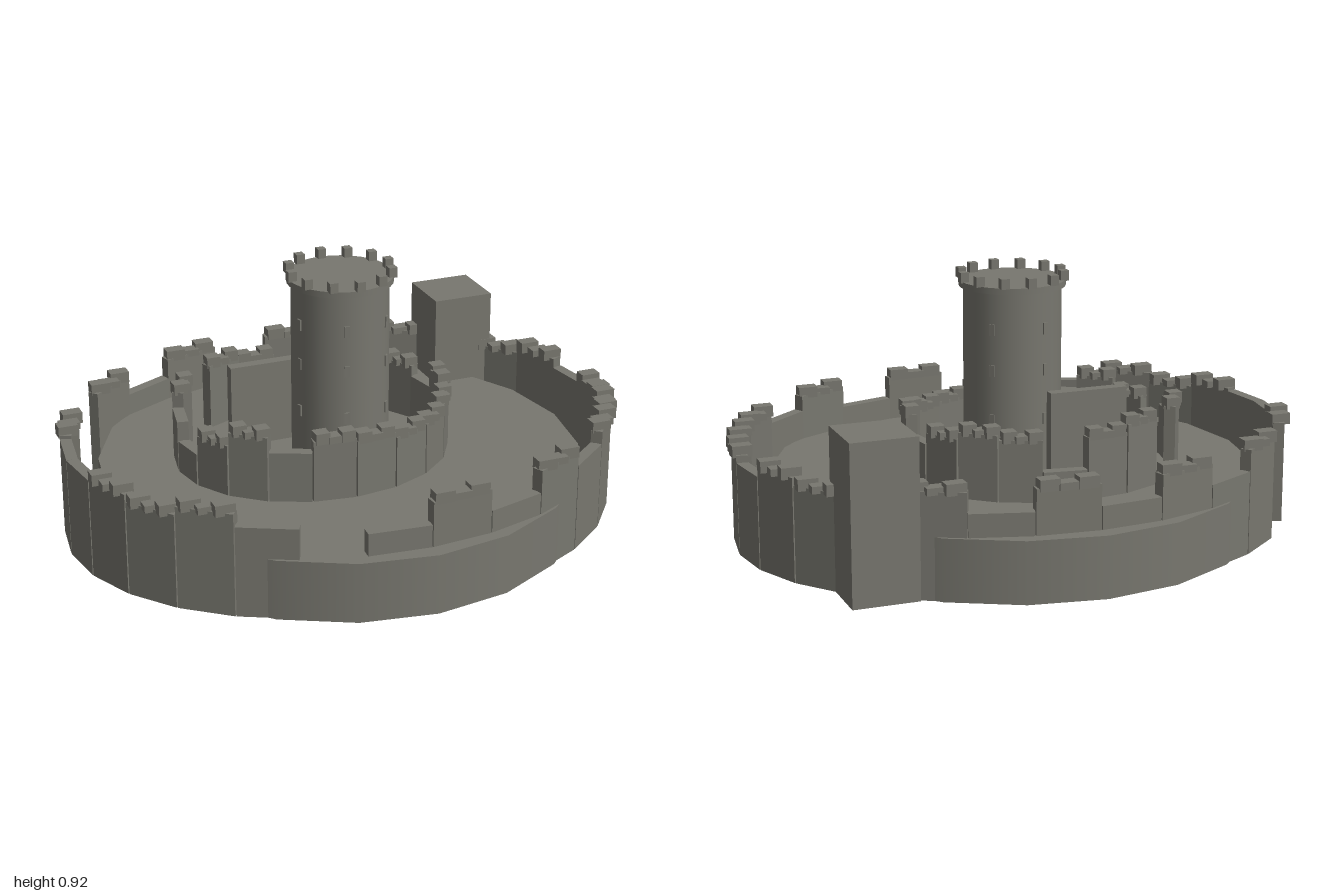
import * as THREE from 'three';

export function createModel() {
  const model = new THREE.Group();
  model.name = 'castle';
  const stone = new THREE.MeshStandardMaterial({ color: 0x78776f });
  stone.name = 'greyStone';

  function add(parent, name, geometry, x, y, z, turn = 0) {
    const mesh = new THREE.Mesh(geometry, stone);
    mesh.name = name;
    mesh.position.set(x, y, z);
    mesh.rotation.y = turn;
    parent.add(mesh);
    return mesh;
  }
  const box = (w, h, d) => new THREE.BoxGeometry(w, h, d);

  // Oval wall of straight panels. Each entry is a panel's top height:
  // 0 leaves a gap, a negative height is a panel that carries battlements.
  function ovalWall(name, o, heights) {
    const wall = new THREE.Group();
    wall.name = name;
    const point = (i) => {
      const a = (i / heights.length) * Math.PI * 2;
      return [o.x + o.rx * Math.cos(a), o.z + o.rz * Math.sin(a)];
    };
    heights.forEach((value, i) => {
      if (!value) return;
      const top = Math.abs(value);
      const [x0, z0] = point(i);
      const [x1, z1] = point(i + 1);
      const dx = x1 - x0, dz = z1 - z0;
      const length = Math.hypot(dx, dz);
      add(wall, 'wallPanel', box(length, top - o.base, o.thick),
        (x0 + x1) / 2, (top + o.base) / 2, (z0 + z1) / 2, -Math.atan2(dz, dx));
      if (value > 0) return;
      // three square-set merlons, the middle one lower
      [0.2, 0.5, 0.8].forEach((t, k) => {
        const h = k === 1 ? 0.015 : 0.03;
        add(wall, 'wallMerlon', box(o.merlon, h + 0.01, 0.046),
          x0 + dx * t, top + h / 2 - 0.005, z0 + dz * t);
      });
    });
    model.add(wall);
  }

  // Round mound
  add(model, 'mound', new THREE.CylinderGeometry(0.86, 0.86, 0.215, 20), 0, 0.1075, 0);

  // Outer wall, starting at +x and running round past the front
  ovalWall('outerWall', { x: 0, z: 0, rx: 0.98, rz: 0.78, thick: 0.04, base: 0, merlon: 0.07 }, [
    -0.35, -0.36, -0.365, 0.32, -0.375, 0.295, -0.375,
    0.295, 0, 0.325, -0.37, -0.34, -0.365, 0.355,
    0.355, -0.365, 0, -0.37, 0.295, -0.37, 0.295,
    -0.37, 0.295, -0.365, 0.34, -0.335, -0.36, 0.325,
  ]);

  // Inner wall on the mound
  ovalWall('innerWall', { x: -0.085, z: -0.06, rx: 0.48, rz: 0.405, thick: 0.04, base: 0.2, merlon: 0.05 }, [
    -0.45, -0.42, -0.4, -0.4, -0.42, -0.435, 0.395, -0.45, -0.4, 0.33,
    0.4, -0.455, 0, -0.455, -0.43, 0.32, -0.43, -0.445, -0.42, 0.38,
  ]);

  // Square corner tower and the free-standing slab in the yard
  add(model, 'cornerTower', box(0.23, 0.55, 0.225), 0.685, 0.275, -0.548);
  add(model, 'yardWall', box(0.285, 0.32, 0.04), -0.203, 0.36, -0.195);

  // Round keep with its parapet
  const keep = new THREE.Group();
  keep.name = 'keep';
  model.add(keep);
  add(keep, 'keepShaft', new THREE.CylinderGeometry(0.172, 0.172, 0.68, 32), 0, 0.54, 0);
  add(keep, 'keepParapet', new THREE.CylinderGeometry(0.187, 0.187, 0.022, 32), 0, 0.879, 0);
  for (let i = 0; i < 12; i++) {
    const a = (i / 12) * Math.PI * 2;
    add(keep, 'keepMerlon', box(0.03, 0.036, 0.03), 0.18 * Math.sin(a), 0.906, 0.18 * Math.cos(a));
  }

  // Three rows of narrow windows
  for (const y of [0.42, 0.595, 0.74]) {
    for (const degrees of [-76, -14, 45, 135, 200]) {
      const a = THREE.MathUtils.degToRad(degrees);
      add(keep, 'keepWindow', box(0.018, 0.04, 0.009), 0.172 * Math.sin(a), y, 0.172 * Math.cos(a), a);
    }
  }

  return model;
}
